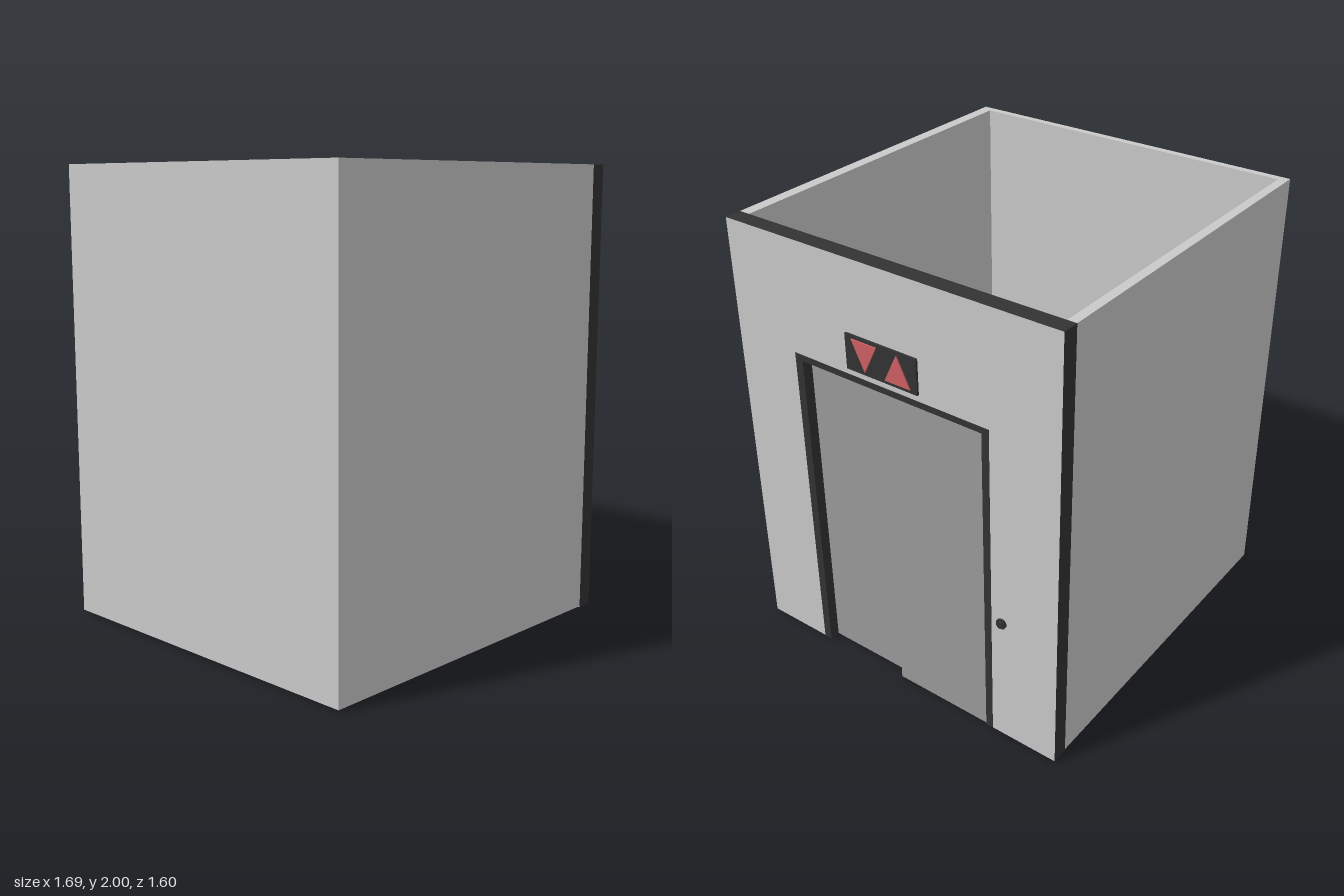
import * as THREE from 'three';

const paint = (name, color) => {
  const m = new THREE.MeshStandardMaterial({ color });
  m.name = name;
  return m;
};

const polygon = (points) => new THREE.Shape(points.map(([a, b]) => new THREE.Vector2(a, b)));

export function createModel() {
  const model = new THREE.Group();
  model.name = 'elevatorCabin';

  const wallGray = paint('wallGray', 0xcacaca);
  const doorGray = paint('doorGray', 0x9a9a9a);
  const charcoal = paint('charcoal', 0x333333);
  const ochre = paint('ochre', 0xc9a53c);
  const signalRed = paint('signalRed', 0xd06064);

  const add = (name, geometry, material) => {
    const mesh = new THREE.Mesh(geometry, material);
    mesh.name = name;
    model.add(mesh);
    return mesh;
  };

  // Box given by its limits on each axis
  const addBox = (name, [x0, x1], [y0, y1], [z0, z1], material) => {
    const mesh = add(name, new THREE.BoxGeometry(x1 - x0, y1 - y0, z1 - z0), material);
    mesh.position.set((x0 + x1) / 2, (y0 + y1) / 2, (z0 + z1) / 2);
  };

  // Outline in (-z, y) pushed out along +x from x0 to x1
  const addFacing = (name, points, x0, x1, material) => {
    const geometry = new THREE.ExtrudeGeometry(polygon(points), { depth: x1 - x0, bevelEnabled: false });
    geometry.rotateY(Math.PI / 2).translate(x0, 0, 0);
    add(name, geometry, material);
  };

  // Floor slab
  addBox('floor', [-0.82, 0.75], [0, 0.018], [-0.77, 0.78], ochre);

  // Three plain walls, one U-shaped plan in (x, -z)
  const plan = polygon([
    [0.75, 0.8], [-0.845, 0.8], [-0.845, -0.8], [0.75, -0.8],
    [0.75, -0.75], [-0.812, -0.75], [-0.812, 0.76], [0.75, 0.76],
  ]);
  const walls = new THREE.ExtrudeGeometry(plan, { depth: 1.99, bevelEnabled: false });
  walls.rotateX(-Math.PI / 2).translate(0, 0.01, 0);
  add('walls', walls, wallGray);

  // Door wall: light faces, dark cut edges, opening down to the floor
  addFacing('doorWall', [
    [-0.8, 0.005], [-0.487, 0.005], [-0.487, 1.5], [0.483, 1.5],
    [0.483, 0.005], [0.8, 0.005], [0.8, 2], [-0.8, 2],
  ], 0.75, 0.825, [wallGray, charcoal]);

  // Door frame lining the opening
  addFacing('doorFrame', [
    [-0.487, 0.005], [-0.449, 0.005], [-0.449, 1.472], [0.449, 1.472],
    [0.449, 0.005], [0.483, 0.005], [0.483, 1.5], [-0.487, 1.5],
  ], 0.75, 0.826, charcoal);

  // Sliding panels on two tracks, overlapping at the middle
  addBox('innerDoorPanel', [0.741, 0.78], [0.006, 1.466], [-0.04, 0.447], doorGray);
  addBox('outerDoorPanel', [0.781, 0.82], [0.006, 1.466], [-0.447, 0.025], doorGray);

  // Direction sign above the door
  addBox('signPlate', [0.825, 0.835], [1.53, 1.685], [-0.157, 0.195], charcoal);
  addFacing('downArrow', [[-0.16, 1.672], [-0.098, 1.545], [-0.034, 1.672]], 0.835, 0.84, signalRed);
  addFacing('upArrow', [[0.002, 1.546], [0.126, 1.546], [0.064, 1.672]], 0.835, 0.84, signalRed);

  // Call button: base disc and raised cap
  for (const [name, radius, x0, x1] of [['buttonBase', 0.023, 0.825, 0.834], ['buttonCap', 0.015, 0.834, 0.843]]) {
    const geometry = new THREE.CylinderGeometry(radius, radius, x1 - x0, 24);
    geometry.rotateZ(-Math.PI / 2);
    add(name, geometry, charcoal).position.set((x0 + x1) / 2, 0.612, -0.535);
  }

  return model;
}
